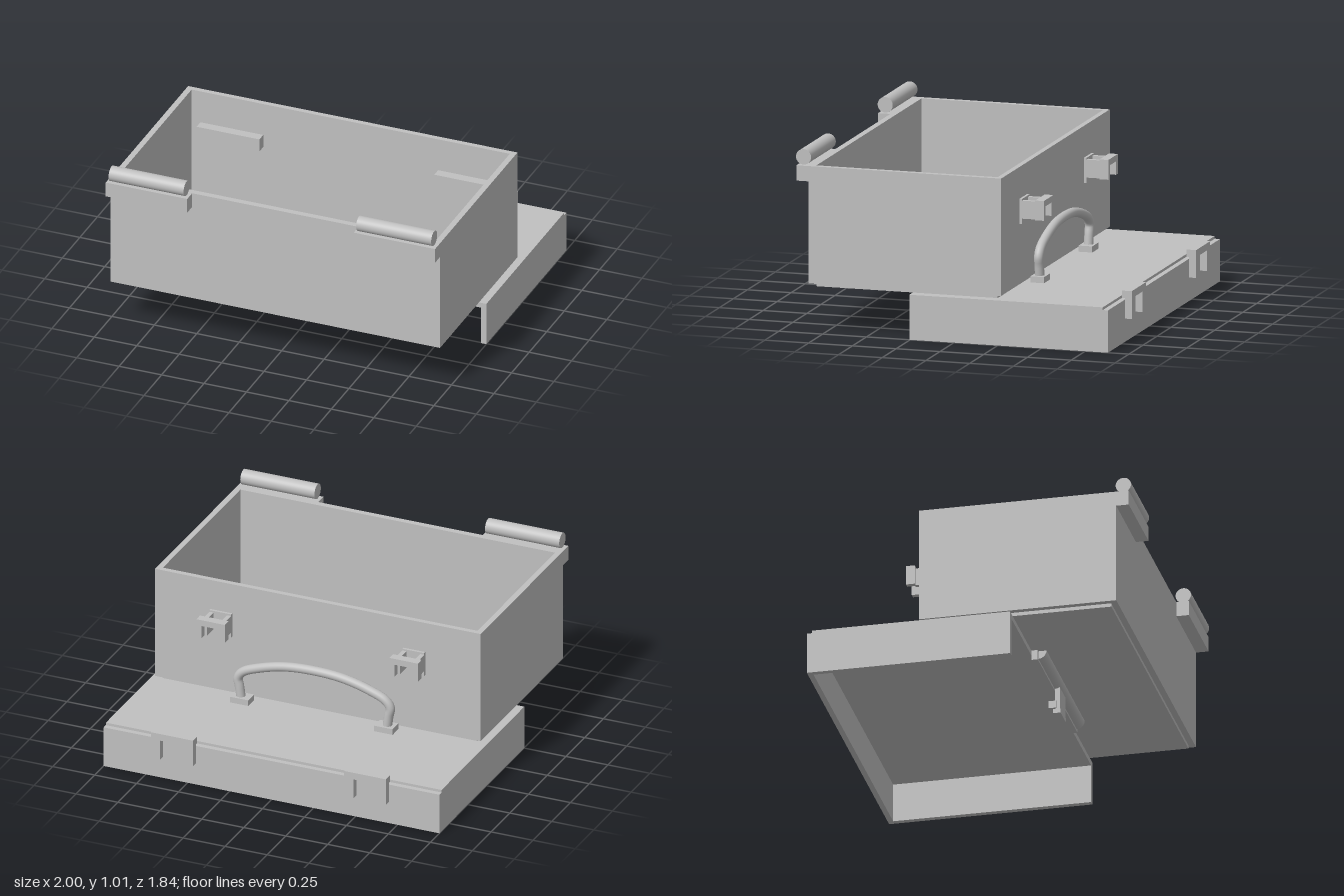
import * as THREE from 'three';

const grey = new THREE.MeshStandardMaterial({ color: 0xc0c0c0 });
grey.name = 'plain grey';

export function createModel() {
  const model = new THREE.Group();
  model.name = 'openCase';

  const group = (name) => {
    const g = new THREE.Group();
    g.name = name;
    model.add(g);
    return g;
  };
  // Box given by its extents along each axis
  const box = (parent, name, x0, x1, y0, y1, z0, z1) => {
    const m = new THREE.Mesh(new THREE.BoxGeometry(x1 - x0, y1 - y0, z1 - z0), grey);
    m.position.set((x0 + x1) / 2, (y0 + y1) / 2, (z0 + z1) / 2);
    m.name = name;
    parent.add(m);
  };
  // Same box on the +x and -x sides
  const pair = (parent, name, x0, x1, ...rest) => {
    box(parent, name + 'Left', x0, x1, ...rest);
    box(parent, name + 'Right', -x1, -x0, ...rest);
  };
  // Rod lying along x
  const rod = (parent, name, x0, x1, y, z, r) => {
    const m = new THREE.Mesh(new THREE.CylinderGeometry(r, r, x1 - x0, 40), grey);
    m.rotation.z = Math.PI / 2;
    m.position.set((x0 + x1) / 2, y, z);
    m.name = name;
    parent.add(m);
  };

  // Deep tray, open at the top
  const tray = group('tray');
  const wall = new THREE.Shape();
  wall.moveTo(-0.97, -0.84).lineTo(0.97, -0.84).lineTo(0.97, 0.26).lineTo(-0.97, 0.26).closePath();
  const hole = new THREE.Path();
  hole.moveTo(-0.937, -0.805).lineTo(-0.937, 0.23).lineTo(0.937, 0.23).lineTo(0.937, -0.805).closePath();
  wall.holes.push(hole);
  const walls = new THREE.Mesh(new THREE.ExtrudeGeometry(wall, { depth: 0.652, bevelEnabled: false }), grey);
  walls.rotation.x = -Math.PI / 2;
  walls.position.y = 0.27;
  walls.name = 'trayWalls';
  tray.add(walls);
  box(tray, 'trayFloor', -0.937, 0.937, 0.25, 0.288, -0.23, 0.805);
  box(tray, 'rearFloorRib', -0.84, 0.84, 0.288, 0.31, -0.035, 0.09);
  box(tray, 'frontFloorRib', -0.84, 0.84, 0.288, 0.31, 0.48, 0.605);
  pair(tray, 'innerBlock', 0.515, 0.885, 0.655, 0.73, -0.23, -0.175);

  // Hinge ledges and rods on the tray's front rim
  const hinges = group('trayHinges');
  pair(hinges, 'hingeLedge', 0.49, 0.97, 0.837, 0.922, 0.84, 0.91);
  rod(hinges, 'hingeRodLeft', 0.508, 0.95, 0.967, 0.875, 0.043);
  rod(hinges, 'hingeRodRight', -0.95, -0.508, 0.967, 0.875, 0.043);

  // Catches on the tray's back wall
  const catches = group('trayCatches');
  pair(catches, 'catchPlate', 0.51, 0.64, 0.605, 0.745, -0.275, -0.26);
  for (const x of [0.49, 0.63]) {
    pair(catches, 'catchArm', x === 0.49 ? 0.51 : 0.615, x === 0.49 ? 0.535 : 0.64, 0.635, 0.735, -0.36, -0.275);
    pair(catches, 'catchLeg', x, x + 0.03, 0.635, 0.71, -0.405, -0.355);
  }
  pair(catches, 'catchBar', 0.49, 0.66, 0.71, 0.745, -0.405, -0.355);

  // Lid, open below and at the front
  const lid = group('lid');
  box(lid, 'lidTop', -1, 1, 0.22, 0.25, -0.85, 0.255);
  pair(lid, 'lidSide', 0.968, 1, 0, 0.22, -0.85, 0.255);
  box(lid, 'lidBack', -1, 1, 0, 0.235, -0.88, -0.85);

  // Hasps hooked over the lid's back edge
  const hasps = group('lidHasps');
  pair(hasps, 'haspBar', 0.45, 0.70, 0.245, 0.285, -0.92, -0.865);
  pair(hasps, 'haspInnerLeg', 0.45, 0.505, 0.13, 0.245, -0.92, -0.88);
  pair(hasps, 'haspOuterLeg', 0.645, 0.70, 0.13, 0.245, -0.92, -0.88);

  // Hinge rod and hanging latch at the lid's open edge
  const latch = group('frontLatch');
  box(latch, 'latchLedge', -0.485, 0.485, 0.193, 0.249, 0.255, 0.29);
  rod(latch, 'latchRod', -0.465, 0.465, 0.25, 0.29, 0.045);
  box(latch, 'latchPlate', -0.068, 0.068, 0.085, 0.212, 0.29, 0.318);
  box(latch, 'latchHook', -0.077, 0.077, 0.088, 0.13, 0.257, 0.30);
  box(latch, 'latchTab', -0.068, 0.068, 0.06, 0.085, 0.28, 0.322);

  // Carrying handle with its two feet
  const handle = group('handle');
  pair(handle, 'handleFoot', 0.375, 0.485, 0.25, 0.284, -0.35, -0.272);
  const points = [
    [0.435, 0.27], [0.445, 0.34], [0.453, 0.39], [0.425, 0.43], [0.32, 0.475], [0.17, 0.512],
  ];
  const arc = [...points, [0, 0.523], ...points.slice().reverse().map(([x, y]) => [-x, y])];
  const path = new THREE.CatmullRomCurve3(arc.map(([x, y]) => new THREE.Vector3(x, y, -0.31)));
  const grip = new THREE.Mesh(new THREE.TubeGeometry(path, 80, 0.026, 20), grey);
  grip.name = 'handleGrip';
  handle.add(grip);

  return model;
}
